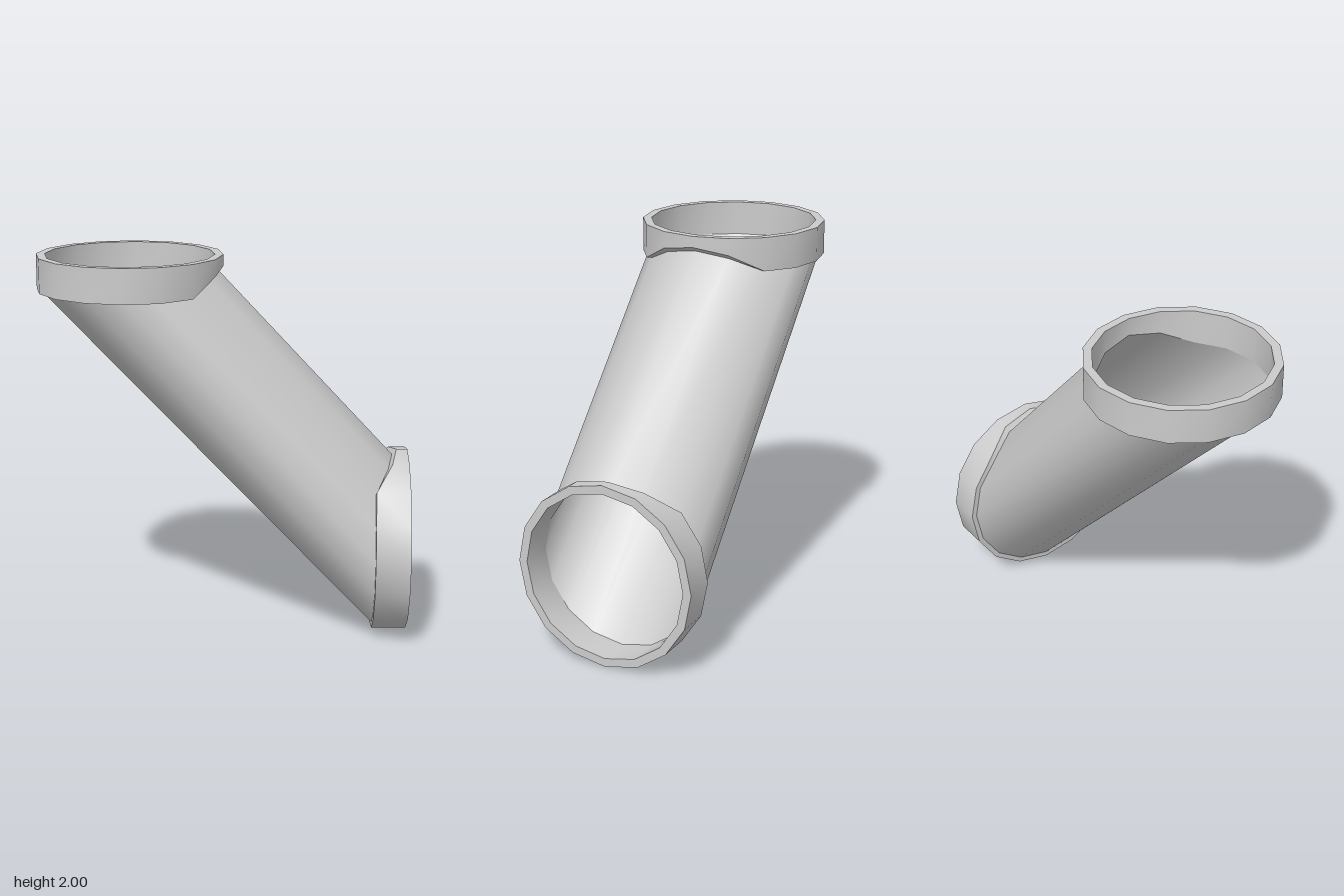
import * as THREE from 'three';
import { mergeGeometries } from 'three/addons/utils/BufferGeometryUtils.js';

const SIDES = 16;
const CENTRE = -0.485, OUTER = 0.485, PIPE = 0.457, BORE = 0.44;

// Height of a collar's lower edge: level, then bevelled on the pipe's inner bend.
const cutHeight = x => 1.82 + Math.max(0, (x + 0.147) * 0.83);

// One ring of points on the upper collar, or swapped across the 45 degree line for the lower one.
function ring(radius, swapped, height) {
  return Array.from({ length: SIDES }, (_, i) => {
    const a = (i / SIDES) * Math.PI * 2;
    const x = CENTRE + radius * Math.cos(a), z = radius * Math.sin(a);
    const y = height ?? cutHeight(x);
    return swapped ? [y - 1.03, x + 0.97, z] : [x, y, z];
  });
}

// Closed band of faces between two rings, smooth around.
function band(a, b) {
  const index = [];
  for (let i = 0; i < SIDES; i++) {
    const n = (i + 1) % SIDES;
    index.push(i, i + SIDES, n, n, i + SIDES, n + SIDES);
  }
  const g = new THREE.BufferGeometry();
  g.setAttribute('position', new THREE.Float32BufferAttribute([...a, ...b].flat(), 3));
  g.setIndex(index);
  g.computeVertexNormals();
  return g;
}

export function createModel() {
  const group = new THREE.Group();
  const material = new THREE.MeshStandardMaterial({ color: 0xcccccc, side: THREE.DoubleSide });
  const add = (name, bands) => {
    const mesh = new THREE.Mesh(mergeGeometries(bands), material);
    mesh.name = name;
    group.add(mesh);
  };

  // Collars: outer wall, flat rim, bore and the lip down to the pipe
  for (const swapped of [false, true]) {
    const join = (a, b) => (swapped ? band(b, a) : band(a, b));
    const outerCut = ring(OUTER, swapped), outerRim = ring(OUTER, swapped, 2);
    const boreCut = ring(BORE, swapped), boreRim = ring(BORE, swapped, 2);
    add(swapped ? 'lowerCollar' : 'upperCollar', [
      join(outerCut, outerRim),
      join(outerRim, boreRim),
      join(boreRim, boreCut),
      join(ring(PIPE, swapped), outerCut),
    ]);
  }

  // Slanted pipe: outer and inner walls between the two bevelled ends
  add('pipe', [
    band(ring(PIPE, true), ring(PIPE, false)),
    band(ring(BORE, false), ring(BORE, true)),
  ]);
  return group;
}
